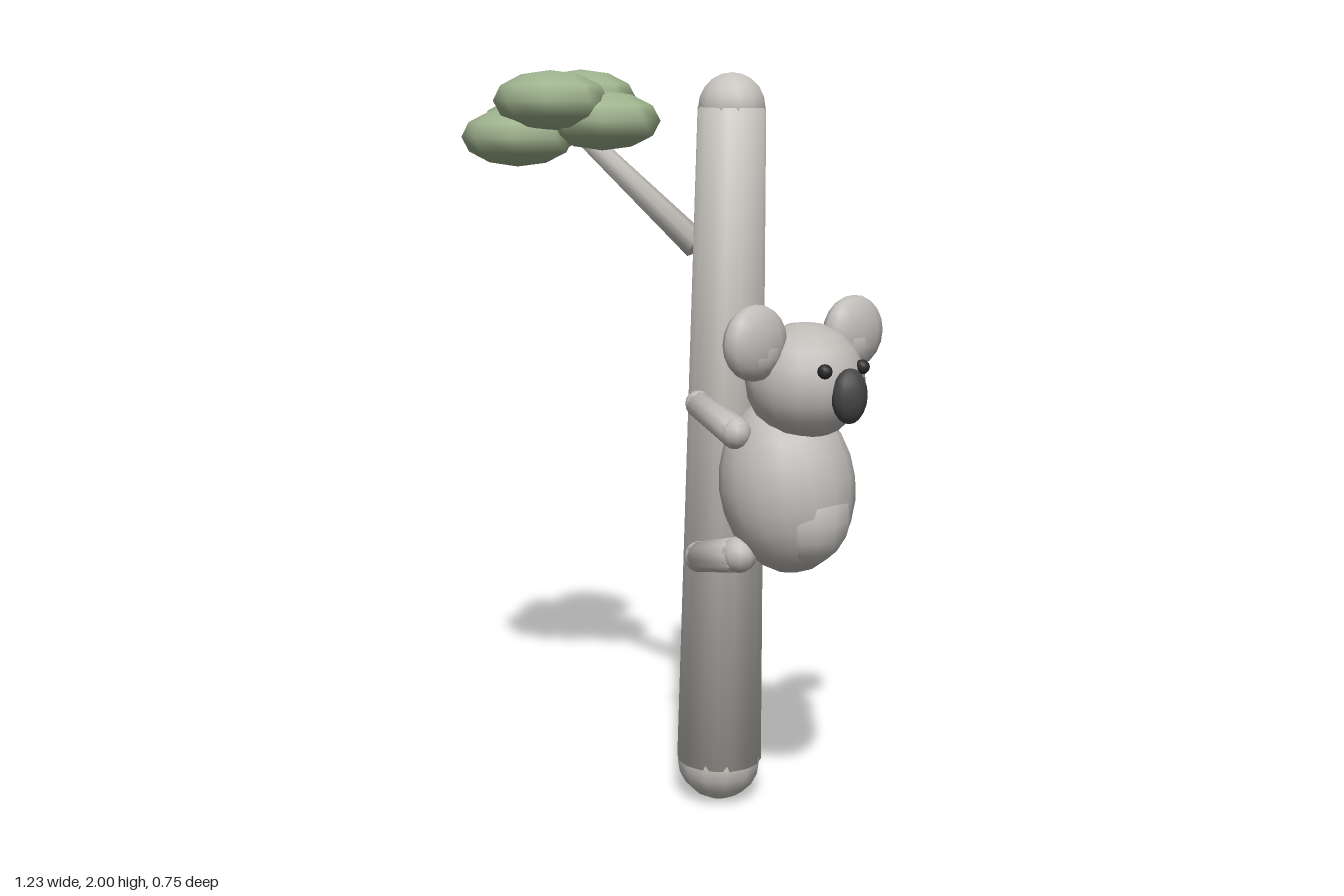
import * as THREE from 'three';

const mat = (name, color) => Object.assign(new THREE.MeshStandardMaterial({ color }), { name });

export function createModel() {
  const root = new THREE.Group();
  root.name = 'koalaOnTree';
  const bark = mat('bark grey', 0xc6c3bd);
  const fur = mat('fur grey', 0xbfbcb8);
  const paleFur = mat('pale fur', 0xc8c6c2);
  const leaf = mat('leaf green', 0x9fb38e);
  const dark = mat('nose charcoal', 0x464646);
  const black = mat('eye black', 0x2c2c2c);
  const MID = -0.105; // z of the trunk and of the animal's mirror plane

  function add(name, geometry, material, parent = root) {
    const mesh = new THREE.Mesh(geometry, material);
    mesh.name = name;
    parent.add(mesh);
    return mesh;
  }

  // Ellipsoid with half sizes r at position p
  function blob(name, p, r, material, segs = [12, 10], parent = root) {
    const mesh = add(name, new THREE.SphereGeometry(1, ...segs), material, parent);
    mesh.position.set(...p);
    mesh.scale.set(...r);
    return mesh;
  }

  // Tapered rod from a to b, its normals spreading softly over the rims
  function rod(name, a, b, ra, rb, material, segs, parent = root) {
    const from = new THREE.Vector3(...a), to = new THREE.Vector3(...b);
    const axis = to.clone().sub(from);
    const geo = new THREE.CylinderGeometry(rb, ra, axis.length(), segs);
    const pos = geo.attributes.position, n = geo.attributes.normal;
    const v = new THREE.Vector3();
    for (let i = 0; i < pos.count; i++) {
      if (Math.abs(n.getY(i)) > 0.9) continue;
      v.set(pos.getX(i), 0, pos.getZ(i)).normalize();
      v.y = Math.sign(pos.getY(i)) * 0.6;
      v.normalize();
      n.setXYZ(i, v.x, v.y, v.z);
    }
    const mesh = add(name, geo, material, parent);
    mesh.position.copy(from).add(to).multiplyScalar(0.5);
    mesh.quaternion.setFromUnitVectors(new THREE.Vector3(0, 1, 0), axis.normalize());
    return mesh;
  }

  // Trunk with rounded ends
  rod('trunk', [0.088, 0.117, MID], [0.124, 1.9, MID], 0.117, 0.089, bark, 16);
  blob('trunkBase', [0.088, 0.117, MID], [0.117, 0.117, 0.117], bark, [12, 10]);
  blob('trunkTop', [0.124, 1.9, MID], [0.089, 0.089, 0.089], bark, [12, 10]);

  // Branch and its leaf cluster
  rod('branch', [0.04, 1.54, -0.06], [-0.27, 1.84, 0.1], 0.038, 0.025, bark, 8);
  const leaves = new THREE.Group();
  leaves.name = 'leafCluster';
  root.add(leaves);
  for (const p of [
    [-0.395, 1.922, -0.005], [-0.22, 1.917, 0.225], [-0.16, 1.865, 0.1],
    [-0.445, 1.85, 0.115], [-0.36, 1.82, 0.235],
  ]) blob('leafClump', p, [0.175, 0.078, 0.138], leaf, [8, 6], leaves);

  // Koala, built facing +x
  const koala = new THREE.Group();
  koala.name = 'koala';
  koala.position.z = MID;
  root.add(koala);
  blob('body', [0.35, 0.94, 0], [0.18, 0.232, 0.175], fur, [16, 12], koala).rotation.z = 0.18;
  blob('belly', [0.416, 0.89, 0], [0.119, 0.15, 0.125], paleFur, [14, 10], koala).rotation.z = 0.18;
  blob('head', [0.413, 1.22, 0], [0.156, 0.15, 0.152], fur, [14, 10], koala);
  blob('nose', [0.572, 1.2, 0], [0.04, 0.07, 0.05], dark, [12, 10], koala);

  // Mirrored ears, eyes and limbs
  for (const s of [1, -1]) {
    blob('ear', [0.41, 1.33, s * 0.17], [0.05, 0.096, 0.098], fur, [12, 10], koala);
    blob('innerEar', [0.425, 1.315, s * 0.165], [0.034, 0.065, 0.065], paleFur, [12, 10], koala);
    blob('eye', [0.55, 1.265, s * 0.065], [0.019, 0.019, 0.019], black, [8, 6], koala);

    const limbs = [
      ['arm', [0.315, 1.088, s * 0.148], [0.142, 1.137, s * 0.125], 0.042, 0.036],
      ['leg', [0.31, 0.765, s * 0.13], [0.143, 0.724, s * 0.12], 0.048, 0.042],
    ];
    for (const [name, a, b, ra, rb] of limbs) {
      rod(name, a, b, ra, rb, fur, 10, koala);
      blob(name + 'Joint', a, [ra, ra, ra], fur, [10, 8], koala);
      blob(name + 'Paw', b, [rb, rb, rb], fur, [10, 8], koala);
    }
  }
  return root;
}
